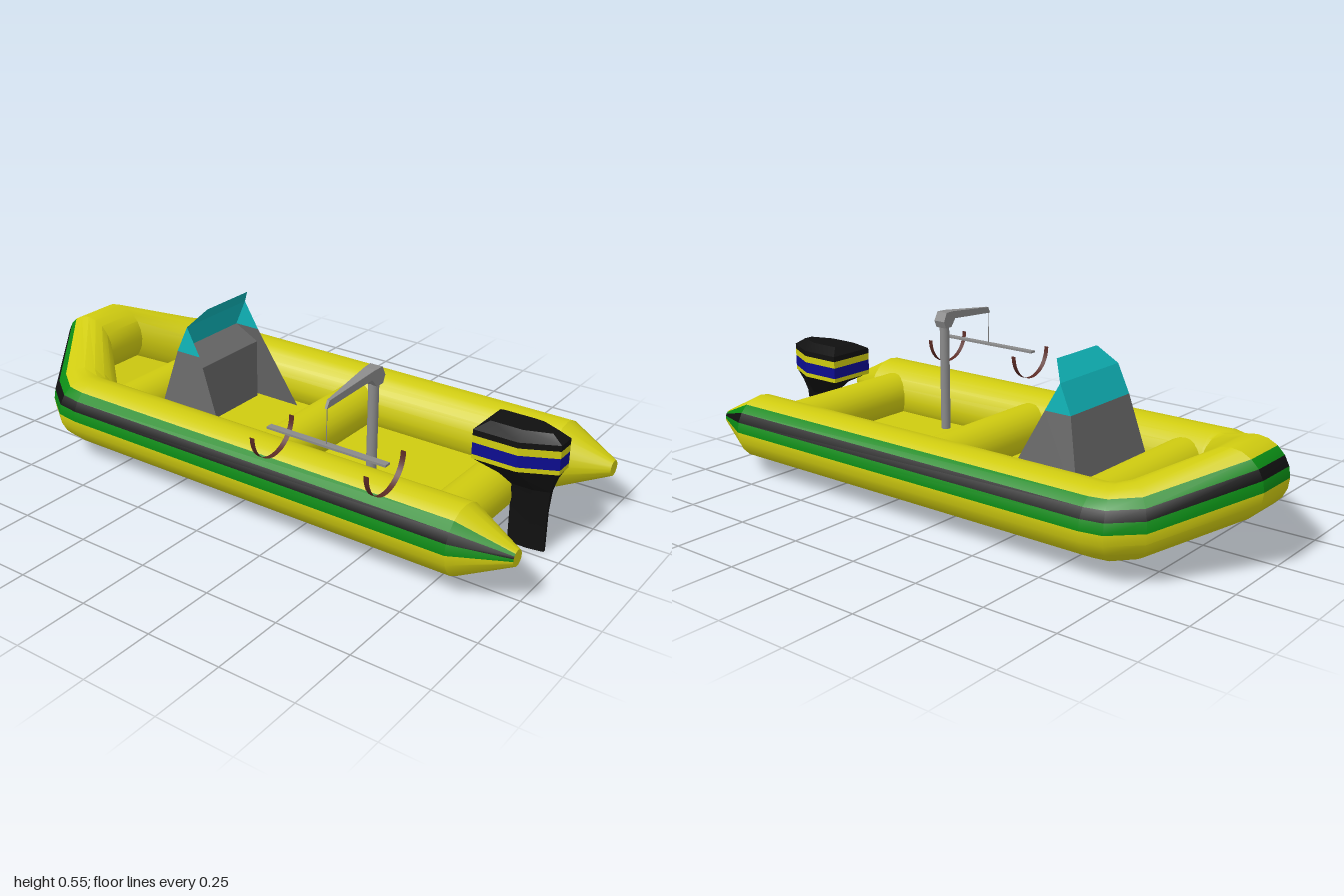
import * as THREE from 'three';
import { toCreasedNormals } from 'three/addons/utils/BufferGeometryUtils.js';

const mat = (color, extra = {}) => new THREE.MeshStandardMaterial({ color, ...extra });
const yellow = mat(0xcfcb10), green = mat(0x0a8a14), black = mat(0x101010), blue = mat(0x0c0c90);
const grey = mat(0x666666, { side: THREE.DoubleSide }), steel = mat(0x8a8a8a);
const teal = mat(0x0fb4b8, { side: THREE.DoubleSide }), brown = mat(0x5a2a24, { side: THREE.DoubleSide });

function add(parent, name, geometry, material, x = 0, y = 0, z = 0) {
  const mesh = new THREE.Mesh(geometry, material);
  mesh.name = name;
  mesh.position.set(x, y, z);
  parent.add(mesh);
  return mesh;
}

// Skin closed rings of points; bands [from, to, materialIndex] run along the loft
function loft(rings, bands, crease) {
  const n = rings[0].length, index = [], geo = new THREE.BufferGeometry();
  geo.setAttribute('position', new THREE.Float32BufferAttribute(rings.flat(2), 3));
  for (const [from, to, material] of bands) {
    const start = index.length;
    for (let i = 0; i < rings.length - 1; i++) {
      for (let j = from; j < to; j++) {
        const a = i * n + j, b = i * n + (j + 1) % n;
        index.push(a, a + n, b + n, a, b + n, b);
      }
    }
    if (to === n) {
      const last = (rings.length - 1) * n;
      for (let j = 1; j < n - 1; j++) index.push(0, j, j + 1, last, last + j + 1, last + j);
    }
    geo.addGroup(start, index.length - start, material);
  }
  geo.setIndex(index);
  return toCreasedNormals(geo, crease);
}

// Flat convex panels, each a list of corners
function panels(list) {
  const pos = [];
  for (const p of list) for (let i = 1; i < p.length - 1; i++) pos.push(...p[0], ...p[i], ...p[i + 1]);
  const geo = new THREE.BufferGeometry();
  geo.setAttribute('position', new THREE.Float32BufferAttribute(pos, 3));
  geo.computeVertexNormals();
  return geo;
}

function buildHull(boat) {
  // Half path: x, y, z, radius, outward direction of the ring in x and z
  const half = [
    [0.331, 0.167, 1.0, 0.026, 1, 0],
    [0.331, 0.167, 0.83, 0.112, 1, 0],
    [0.331, 0.167, -0.62, 0.112, 1, 0],
    [0.327, 0.169, -0.66, 0.113, 0.94, -0.34],
    [0.29, 0.177, -0.71, 0.113, 0.64, -0.77],
    [0.08, 0.263, -0.89, 0.111, 0, -1],
  ];
  const path = [...half, ...half.slice().reverse().map(([x, y, z, r, nx, nz]) => [-x, y, z, r, -nx, nz])];
  const rings = path.map(([x, y, z, r, nx, nz]) => Array.from({ length: 20 }, (_, j) => {
    const c = r * Math.cos(j * Math.PI / 10), s = r * Math.sin(j * Math.PI / 10);
    return [x + nx * c, y + s, z + nz * c];
  }));
  // Striped rub strake: green, black, green on the outer side
  const bands = [[0, 1, 1], [1, 2, 2], [2, 3, 1], [3, 20, 0]];
  add(boat, 'hullTube', loft(rings, bands, 0.4), [yellow, green, black]);

  // Floor with a sloping bow section
  add(boat, 'floor', new THREE.BoxGeometry(0.54, 0.015, 1.4), yellow, 0, 0.105, 0.08);
  const bowMat = yellow.clone();
  bowMat.side = THREE.DoubleSide;
  add(boat, 'bowFloor', panels([[
    [-0.27, 0.105, -0.62], [0.27, 0.105, -0.62], [0.09, 0.2, -0.84], [-0.09, 0.2, -0.84],
  ]]), bowMat);

  // Inflated cross tubes
  for (const [name, z] of [['bowSeat', -0.545], ['middleSeat', 0.08], ['transomTube', 0.74]]) {
    const seat = add(boat, name, new THREE.CylinderGeometry(0.081, 0.081, 0.58, 24), yellow, 0, 0.168, z);
    seat.rotation.z = Math.PI / 2;
  }
}

function buildConsole(boat) {
  const b = 0.207, t = 0.16, y0 = 0.11, y1 = 0.39;
  const walls = [
    // Bow wall, base, recessed face and dashboard
    [[-b, y0, -0.455], [b, y0, -0.455], [t, y1, -0.388], [-t, y1, -0.388]],
    [[-b, y0, -0.455], [b, y0, -0.455], [b, y0, -0.15], [-b, y0, -0.15]],
    [[-0.19, y0, -0.32], [0.19, y0, -0.32], [0.166, 0.34, -0.3], [-0.166, 0.34, -0.3]],
    [[-0.166, 0.34, -0.3], [0.166, 0.34, -0.3], [t, y1, -0.388], [-t, y1, -0.388]],
  ];
  const screen = [
    // Lower pane and leaning upper pane
    [[-t, y1, -0.388], [t, y1, -0.388], [0.157, 0.485, -0.345], [-0.157, 0.485, -0.345]],
    [[-0.157, 0.485, -0.345], [0.157, 0.485, -0.345], [0.108, 0.545, -0.295], [-0.108, 0.545, -0.295]],
  ];
  for (const s of [-1, 1]) {
    walls.push([[s * b, y0, -0.455], [s * b, y0, -0.15], [s * t, y1, -0.29], [s * t, y1, -0.388]]);
    screen.push([[s * t, y1, -0.388], [s * t, y1, -0.29], [s * 0.157, 0.485, -0.345]]);
  }
  add(boat, 'console', panels(walls), grey);
  add(boat, 'windshield', panels(screen), teal);
}

function buildMotor(boat) {
  const motor = new THREE.Group();
  motor.name = 'outboardMotor';
  boat.add(motor);
  // Hexagonal section pointed towards +z: height, half width, z start, z end
  const section = ([y, w, z0, z1]) => {
    const zm = z0 + (z1 - z0) * 0.57;
    return [[-w, y, z0], [w, y, z0], [w, y, zm], [w * 0.36, y, z1], [-w * 0.36, y, z1], [-w, y, zm]];
  };
  const cowl = (y0, y1) => [[y0, 0.087, 0.71, 0.972], [y1, 0.087, 0.71, 0.972]];
  const parts = [
    ['motorLeg', black, [[0, 0.014, 0.815, 0.935], [0.14, 0.015, 0.815, 0.935], [0.21, 0.026, 0.82, 0.94],
      [0.25, 0.055, 0.79, 0.95], [0.288, 0.086, 0.715, 0.968]]],
    ['lowerTrim', yellow, cowl(0.288, 0.303)],
    ['blueBand', blue, cowl(0.303, 0.342)],
    ['upperTrim', yellow, cowl(0.342, 0.366)],
    ['motorCover', black, [...cowl(0.366, 0.385), [0.408, 0.046, 0.745, 0.935]]],
  ];
  for (const [name, material, levels] of parts) {
    add(motor, name, loft(levels.map(section), [[0, 6, 0]], 0.3), [material]);
  }
}

function buildDavit(root) {
  const davit = new THREE.Group();
  davit.name = 'davit';
  root.add(davit);
  const z = 0.415;
  add(davit, 'post', new THREE.CylinderGeometry(0.017, 0.017, 0.4, 16), steel, -0.142, 0.3, z);

  // Arm profile, narrowing towards its tip
  const outline = [[-0.125, 0.49], [-0.115, 0.515], [-0.13, 0.546], [-0.165, 0.546],
    [-0.383, 0.523], [-0.395, 0.5], [-0.18, 0.518], [-0.157, 0.49]];
  const arm = new THREE.ExtrudeGeometry(new THREE.Shape(outline.map(p => new THREE.Vector2(...p))),
    { depth: 1, bevelEnabled: false });
  const p = arm.attributes.position;
  for (let i = 0; i < p.count; i++) {
    const width = THREE.MathUtils.mapLinear(p.getX(i), -0.395, -0.115, 0.008, 0.046);
    p.setZ(i, (p.getZ(i) - 0.5) * width);
  }
  arm.computeVertexNormals();
  add(davit, 'arm', arm, steel, 0, 0, z);

  // Hanging line, spreader bar and slings
  add(davit, 'line', new THREE.CylinderGeometry(0.0015, 0.0015, 0.125, 6), steel, -0.389, 0.443, z);
  add(davit, 'spreaderBar', new THREE.BoxGeometry(0.024, 0.007, 0.42), steel, -0.389, 0.382, z);
  for (const s of [-1, 1]) {
    const sling = new THREE.CylinderGeometry(0.098, 0.098, 0.018, 24, 1, true, -Math.PI / 2, Math.PI);
    sling.rotateX(Math.PI / 2);
    add(davit, 'sling', sling, brown, -0.386, 0.383, z + s * 0.2);
  }
}

export function createModel() {
  const root = new THREE.Group();
  root.name = 'inflatableBoat';
  const boat = new THREE.Group();
  boat.name = 'boat';
  boat.position.x = 0.037;
  root.add(boat);
  buildHull(boat);
  buildConsole(boat);
  buildMotor(boat);
  buildDavit(root);
  return root;
}
